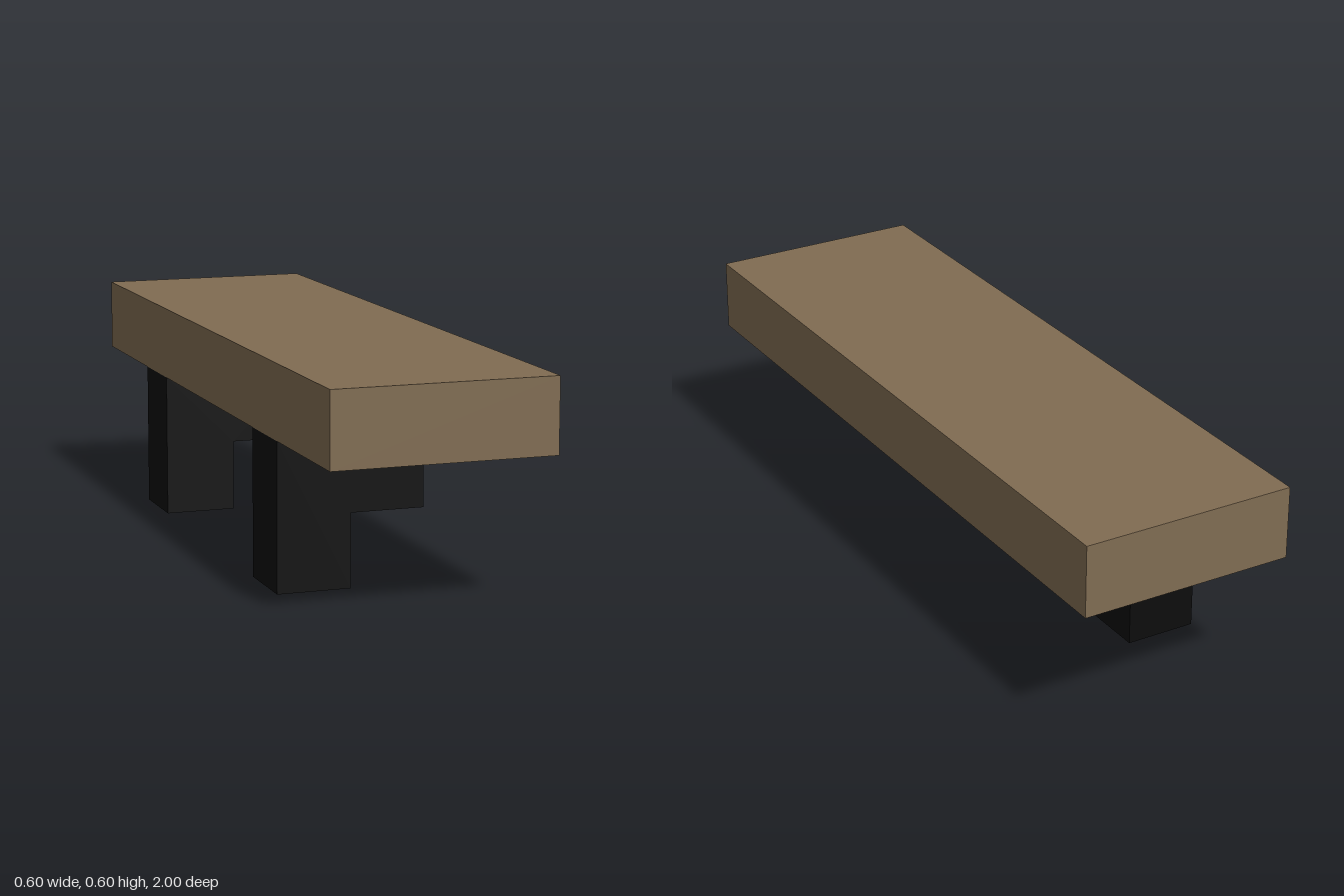
import * as THREE from 'three';

export function createModel() {
  const model = new THREE.Group();
  model.name = 'bench';

  const wood = new THREE.MeshStandardMaterial({ color: 0x806c52 });
  wood.name = 'brown wood';
  const metal = new THREE.MeshStandardMaterial({ color: 0x0d0d0d });
  metal.name = 'black metal';

  // Seat plank
  const seat = new THREE.Mesh(new THREE.BoxGeometry(0.6, 0.2, 2), wood);
  seat.name = 'seat';
  seat.position.y = 0.5;
  model.add(seat);

  // L-shaped leg: a foot at the right edge with an arm under the seat
  const profile = new THREE.Shape([
    [-0.3, 0], [-0.1, 0], [-0.1, 0.2], [0.1, 0.2], [0.1, 0.4], [-0.3, 0.4],
  ].map(([x, y]) => new THREE.Vector2(x, y)));
  const legGeometry = new THREE.ExtrudeGeometry(profile, { depth: 0.2, bevelEnabled: false });
  legGeometry.translate(0, 0, -0.1);

  for (const [name, z] of [['frontLeg', 0.5], ['backLeg', -0.5]]) {
    const leg = new THREE.Mesh(legGeometry, metal);
    leg.name = name;
    leg.position.z = z;
    model.add(leg);
  }

  return model;
}
